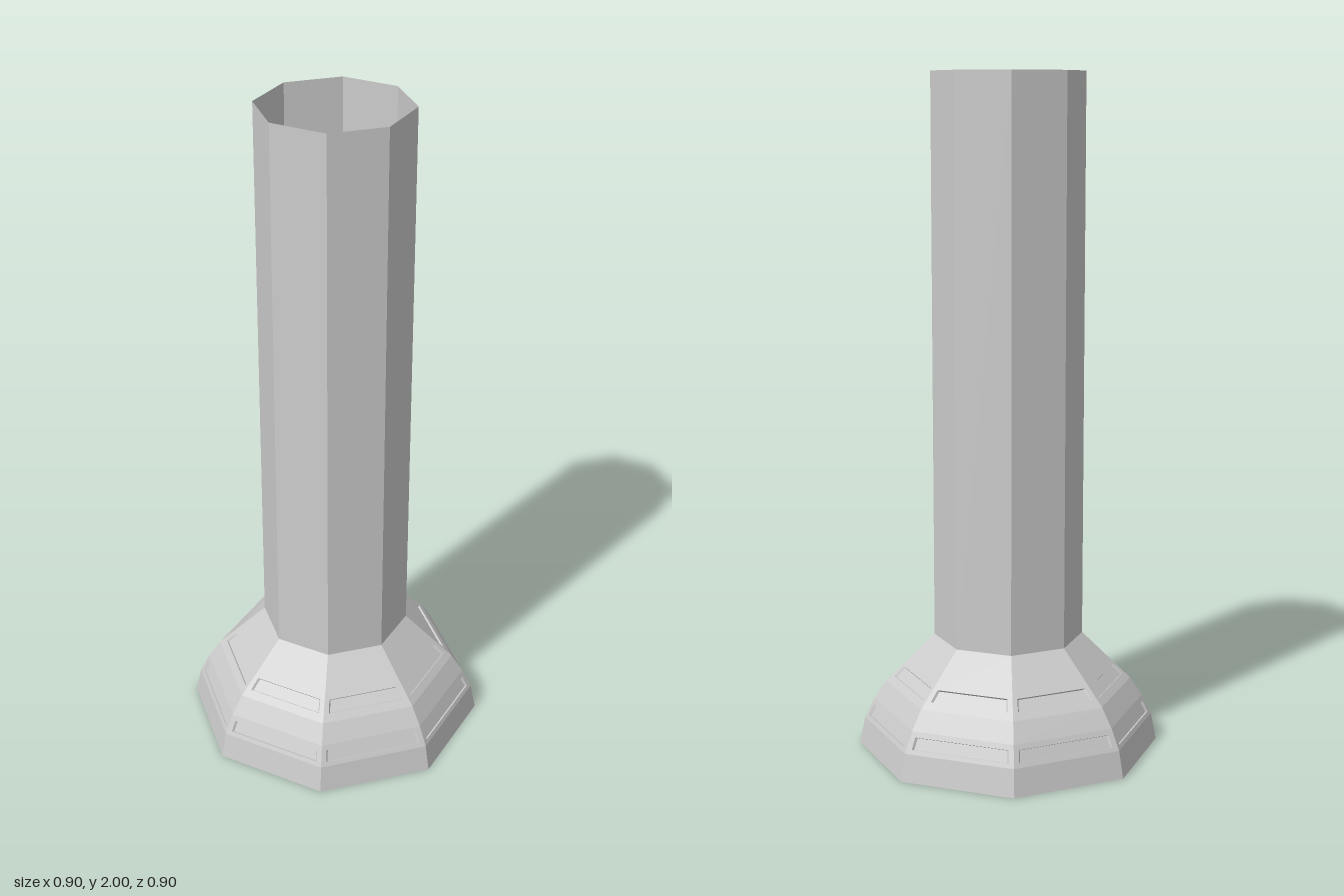
import * as THREE from 'three';

const SIDES = 8;
const material = new THREE.MeshStandardMaterial({ color: 0xcccccc, flatShading: true, side: THREE.DoubleSide });

// Point on the octagonal shell: corner index i, radius r, height y
const corner = (i, [r, y]) => {
  const a = (i / SIDES) * Math.PI * 2;
  return new THREE.Vector3(r * Math.sin(a), y, r * Math.cos(a));
};

// Bilinear point on a facet (corners: bottom left, bottom right, top right, top left)
const onFacet = (c, u, v) =>
  c[0].clone().lerp(c[1], u).lerp(c[3].clone().lerp(c[2], u), v);

function addQuad(out, a, b, c, d) {
  for (const p of [a, b, c, a, c, d]) out.push(p.x, p.y, p.z);
}

// Facet with a shallow sunken slot: surround, slot walls and slot floor
function addSlottedFacet(out, c, [u0, u1, v0, v1], depth) {
  const hole = [[u0, v0], [u1, v0], [u1, v1], [u0, v1]].map(([u, v]) => onFacet(c, u, v));
  const normal = c[1].clone().sub(c[0]).cross(c[3].clone().sub(c[0])).normalize();
  const middle = onFacet(c, (u0 + u1) / 2, (v0 + v1) / 2);
  const floor = hole.map((p) => {
    const q = p.clone().addScaledVector(normal, -depth);
    return q.addScaledVector(middle.clone().sub(p).normalize(), 0.005);
  });
  for (let k = 0; k < 4; k++) {
    const n = (k + 1) % 4;
    addQuad(out, c[k], c[n], hole[n], hole[k]);
    addQuad(out, hole[k], hole[n], floor[n], floor[k]);
  }
  addQuad(out, ...floor);
}

// One octagonal band between two profile points, with an optional slot per facet
function makeBand(name, low, high, slot) {
  const out = [];
  for (let i = 0; i < SIDES; i++) {
    const c = [corner(i, low), corner(i + 1, low), corner(i + 1, high), corner(i, high)];
    if (slot) addSlottedFacet(out, c, slot, 0.006);
    else addQuad(out, ...c);
  }
  const geometry = new THREE.BufferGeometry();
  geometry.setAttribute('position', new THREE.Float32BufferAttribute(out, 3));
  geometry.computeVertexNormals();
  const mesh = new THREE.Mesh(geometry, material);
  mesh.name = name;
  return mesh;
}

export function createModel() {
  const model = new THREE.Group();
  model.name = 'flaredColumn';

  // Domed base, open underneath
  const base = new THREE.Group();
  base.name = 'base';
  base.add(
    makeBand('baseSkirt', [0.45, 0], [0.434, 0.08]),
    makeBand('lowerSlotBand', [0.434, 0.08], [0.405, 0.14], [0.05, 0.95, 0.2, 0.75]),
    makeBand('middleBand', [0.405, 0.14], [0.369, 0.195]),
    makeBand('upperSlotBand', [0.369, 0.195], [0.222, 0.34], [0.06, 0.94, 0.13, 0.33])
  );
  model.add(base);

  // Tall hollow shaft, open at the top
  model.add(makeBand('shaft', [0.222, 0.34], [0.222, 2]));
  return model;
}
